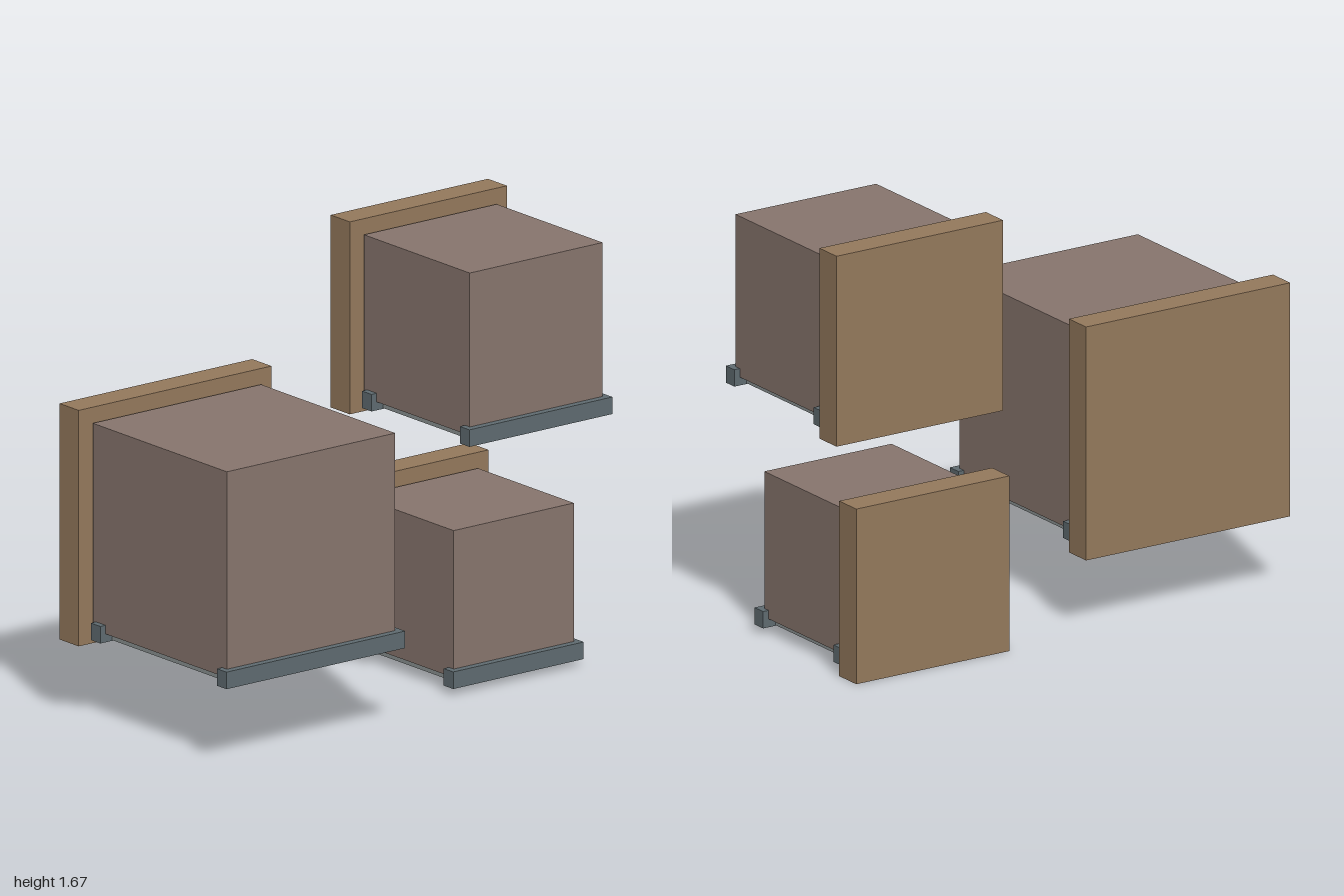
import * as THREE from 'three';

const material = (name, color) => {
  const m = new THREE.MeshStandardMaterial({ color });
  m.name = name;
  return m;
};

export function createModel() {
  const wood = material('woodBoard', 0x94795c);
  const body = material('brownBox', 0x87756d);
  const darkMetal = material('darkRail', 0x5f6b70);
  const lightMetal = material('lightRunner', 0x8a9292);

  // Box given by its lower and upper bounds on each axis
  const block = (group, name, mat, [x0, x1], [y0, y1], [z0, z1]) => {
    const mesh = new THREE.Mesh(new THREE.BoxGeometry(x1 - x0, y1 - y0, z1 - z0), mat);
    mesh.position.set((x0 + x1) / 2, (y0 + y1) / 2, (z0 + z1) / 2);
    mesh.name = name;
    group.add(mesh);
  };

  // Square board with a cube in front of it, standing on a rail frame
  const border = 0.057;
  const backZ = -0.347;
  const createUnit = (name, x, y, size) => {
    const unit = new THREE.Group();
    unit.name = name;
    const x0 = x + border, x1 = x + size - border;
    const y0 = y + border, y1 = y + size - border;
    const frontZ = backZ + size - 2 * border;

    block(unit, 'backBoard', wood, [x, x + size], [y, y + size], [-0.47, -0.358]);
    block(unit, 'box', body, [x0, x1], [y0, y1], [backZ, frontZ]);

    // Cross rails half sunk into the bottom edge
    for (const [label, z] of [['frontRail', frontZ], ['backRail', -0.3]]) {
      block(unit, label, darkMetal, [x0 - 0.024, x1 + 0.024],
        [y0 - 0.032, y0 + 0.033], [z - 0.028, z + 0.028]);
    }

    // Runners under the box, set in from its sides
    for (const [label, a, b] of [
      ['rightRunner', x0 + 0.03, x0 + 0.11],
      ['leftRunner', x1 - 0.11, x1 - 0.03],
    ]) {
      block(unit, label, lightMetal, [a, b], [y0 - 0.029, y0], [backZ, frontZ]);
    }
    return unit;
  };

  const model = new THREE.Group();
  model.name = 'wallBoxes';
  model.add(
    createUnit('largeUnit', -1, 0.285, 0.9),
    createUnit('upperUnit', 0.266, 0.932, 0.734),
    createUnit('lowerUnit', 0.238, 0, 0.675),
  );
  return model;
}
